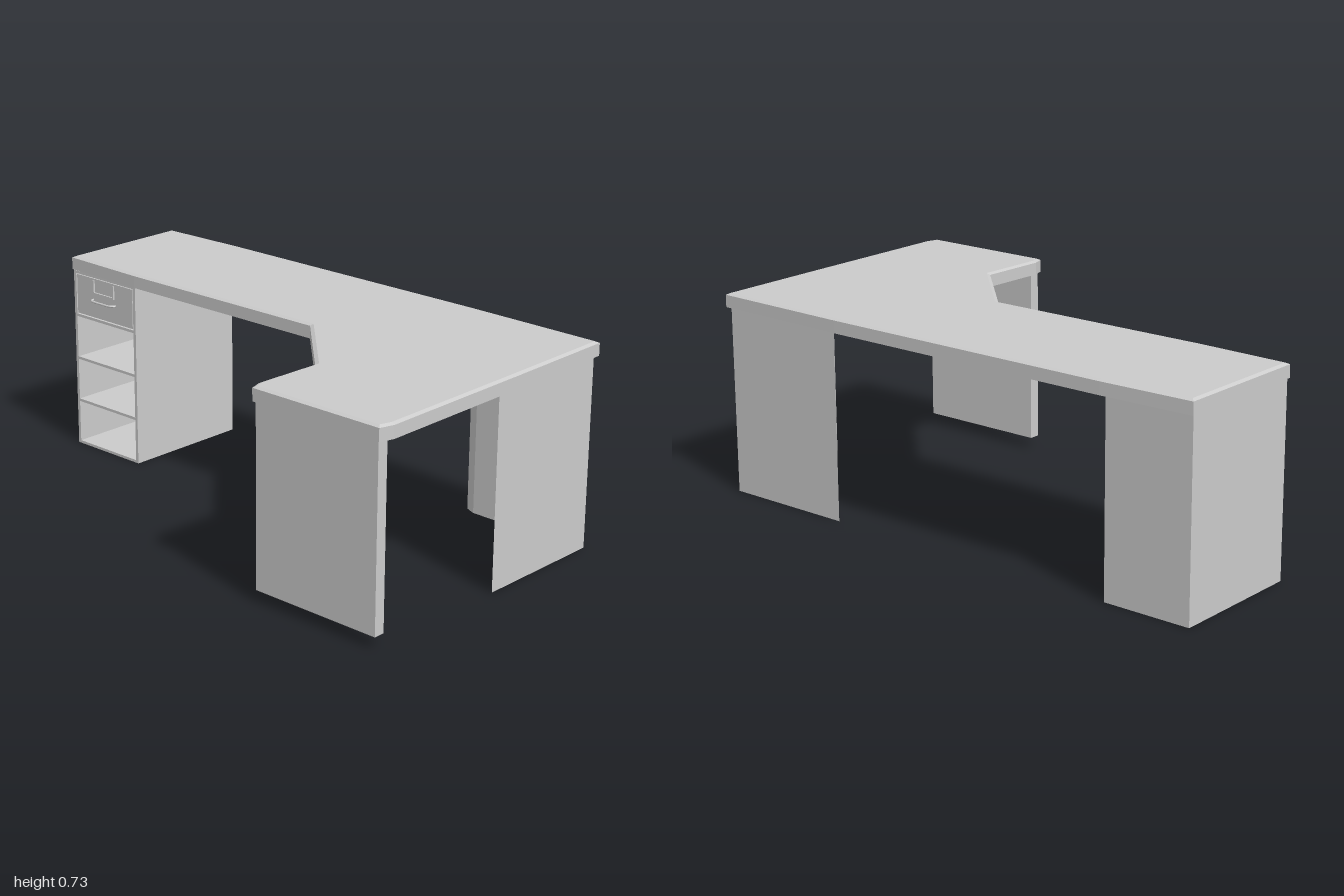
import * as THREE from 'three';

const material = new THREE.MeshStandardMaterial({ color: 0xcccccc, flatShading: true });

function add(parent, name, geometry) {
  const mesh = new THREE.Mesh(geometry, material);
  mesh.name = name;
  parent.add(mesh);
  return mesh;
}

// Box given by its lower and upper limits on each axis
function box(parent, name, [x0, x1], [y0, y1], [z0, z1]) {
  const mesh = add(parent, name, new THREE.BoxGeometry(x1 - x0, y1 - y0, z1 - z0));
  mesh.position.set((x0 + x1) / 2, (y0 + y1) / 2, (z0 + z1) / 2);
  return mesh;
}

// Upright prism from a plan outline of [x, z] points
function prism(parent, name, plan, y, height, bevel = {}) {
  const shape = new THREE.Shape(plan.map(([x, z]) => new THREE.Vector2(x, -z)));
  const geometry = new THREE.ExtrudeGeometry(shape, { depth: height, bevelEnabled: false, ...bevel });
  geometry.rotateX(-Math.PI / 2).translate(0, y, 0);
  return add(parent, name, geometry);
}

export function createModel() {
  const desk = new THREE.Group();
  desk.name = 'cornerDesk';

  // L-shaped worktop with slightly bowed long edges and a bevelled upper rim
  const top = new THREE.Group();
  top.name = 'worktop';
  desk.add(top);
  const outline = [
    [-1, -0.54], [-0.66, -0.55], [0.45, -0.55], [0.985, -0.54], [0.993, -0.1], [1, 0.5],
    [0.985, 0.55], [0.475, 0.55], [0.46, 0.505], [0.467, 0.257], [0.185, -0.027],
    [-0.66, -0.022], [-1, -0.032],
  ];
  prism(top, 'worktopEdge', outline, 0.675, 0.023);
  prism(top, 'worktopSurface', outline, 0.698, 0.021, {
    bevelEnabled: true, bevelSegments: 1, bevelThickness: 0.006, bevelSize: 0.012, bevelOffset: -0.012,
  });

  // Front support, stopping short of the floor
  box(desk, 'frontLegPanel', [0.48, 0.975], [0.042, 0.675], [0.5, 0.54]);

  // Two thin panels meeting at the rear corner, with chamfered ends
  prism(desk, 'cornerLegPanels', [
    [0.48, -0.525], [0.975, -0.525], [0.975, -0.03],
    [0.957, -0.07], [0.957, -0.507], [0.52, -0.507],
  ], 0, 0.675);

  // Pedestal carcass with open shelves
  const pedestal = new THREE.Group();
  pedestal.name = 'pedestal';
  desk.add(pedestal);
  const depth = [-0.525, -0.03];
  const inside = [-0.978, -0.677];
  box(pedestal, 'pedestalRightSide', [-0.99, -0.978], [0, 0.675], depth);
  box(pedestal, 'pedestalLeftSide', [-0.677, -0.665], [0, 0.675], depth);
  box(pedestal, 'pedestalBack', inside, [0, 0.675], [-0.525, -0.513]);
  for (const y of [0, 0.167, 0.333, 0.5, 0.665]) {
    box(pedestal, 'shelf', inside, [y, y + 0.01], [-0.513, -0.03]);
  }

  // Drawer with label holder and bowed pull
  const drawer = new THREE.Group();
  drawer.name = 'drawer';
  pedestal.add(drawer);
  box(drawer, 'drawerBox', [-0.974, -0.681], [0.514, 0.662], [-0.5, -0.031]);
  const holder = [-0.032, -0.025];
  box(drawer, 'labelHolderBase', [-0.885, -0.775], [0.605, 0.611], holder);
  for (const x of [-0.885, -0.781]) {
    box(drawer, 'labelHolderSide', [x, x + 0.006], [0.611, 0.655], holder);
  }
  const pull = new THREE.CatmullRomCurve3([
    [-0.89, -0.034], [-0.883, -0.017], [-0.83, -0.012], [-0.777, -0.017], [-0.77, -0.034],
  ].map(([x, z]) => new THREE.Vector3(x, 0.581, z)));
  add(drawer, 'drawerHandle', new THREE.TubeGeometry(pull, 20, 0.004, 8));

  return desk;
}
